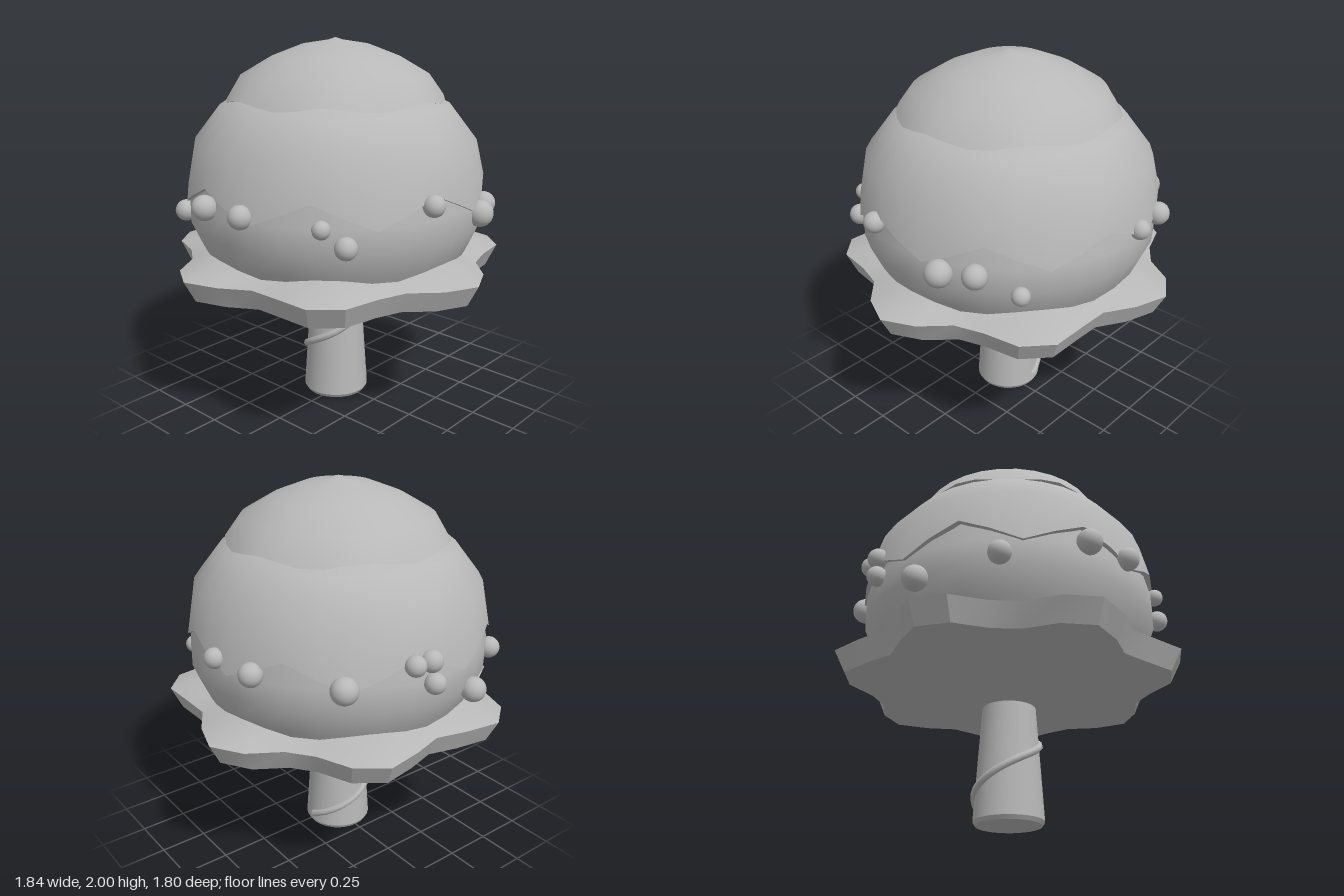
import * as THREE from 'three';
import { toCreasedNormals } from 'three/addons/utils/BufferGeometryUtils.js';

const SEGMENTS = 32;
const AXIS_Z = -0.04;

// Skin a stack of rings, listed bottom to top. Each ring maps an angle
// (0 = front, growing towards +x) to [radius, height].
function ringGeometry(rings, crease) {
  const positions = [];
  const index = [];
  const row = SEGMENTS + 1;
  rings.forEach((ring, i) => {
    for (let j = 0; j <= SEGMENTS; j++) {
      const angle = ((j % SEGMENTS) / SEGMENTS) * Math.PI * 2;
      const [r, y] = ring(angle);
      positions.push(r * Math.sin(angle), y, r * Math.cos(angle));
      if (i === 0 || j === SEGMENTS) continue;
      const a = (i - 1) * row + j;
      const b = a + 1;
      const c = b + row;
      const d = a + row;
      if (rings[i - 1](0)[0] > 0) index.push(a, b, c);
      if (r > 0) index.push(a, c, d);
    }
  });
  const geometry = new THREE.BufferGeometry();
  geometry.setAttribute('position', new THREE.Float32BufferAttribute(positions, 3));
  geometry.setIndex(index);
  return toCreasedNormals(geometry, crease);
}

const round = (r, y) => () => [r, y];
const lobed = (r, y) => (a) => [r * (1 + 0.09 * Math.cos(7 * a)), y];

export function createModel() {
  const model = new THREE.Group();
  model.name = 'layeredMushroom';
  const grey = new THREE.MeshStandardMaterial({ color: 0xb8b8b8, side: THREE.DoubleSide });
  grey.name = 'clay grey';

  // Everything is turned around one axis
  const body = new THREE.Group();
  body.name = 'body';
  body.position.z = AXIS_Z;
  model.add(body);

  const add = (name, geometry, parent = body) => {
    const mesh = new THREE.Mesh(geometry, grey);
    mesh.name = name;
    parent.add(mesh);
    return mesh;
  };

  // Tapered stem with a small bevel at the foot
  add('stem', ringGeometry([
    round(0, 0), round(0.17, 0), round(0.182, 0.02), round(0.14, 0.64),
  ], 0.6));

  // Vine winding once around the stem
  const vinePoints = [];
  for (let i = 0; i <= 24; i++) {
    const t = i / 24;
    const angle = THREE.MathUtils.degToRad(92 + 366 * t);
    const y = 0.065 + 0.56 * t;
    const r = 0.186 - 0.068 * y;
    vinePoints.push(new THREE.Vector3(r * Math.sin(angle), y, r * Math.cos(angle)));
  }
  add('vine', new THREE.TubeGeometry(new THREE.CatmullRomCurve3(vinePoints), 24, 0.02, 6));

  // Seven-lobed skirt under the dome
  add('skirt', ringGeometry([
    round(0, 0.615), lobed(0.27, 0.615), lobed(0.805, 0.73),
    lobed(0.86, 0.845), lobed(0.68, 0.915), round(0, 0.92),
  ], 0.5));

  // Lower dome
  add('lowerDome', ringGeometry([
    round(0.7, 0.86), round(0.73, 0.915), round(0.79, 1.05),
    round(0.79, 1.18), round(0.725, 1.45),
  ], 0.9));

  // Upper shell with a zigzag edge overhanging the lower dome
  const zigzag = (a) => 1.235 - 0.065 * Math.sin(8 * a);
  const edge = (r) => (a) => [r - 0.08 * (zigzag(a) - 1.17), zigzag(a)];
  add('upperShell', ringGeometry([
    edge(0.775), edge(0.806), round(0.752, 1.48),
    round(0.615, 1.655), round(0.53, 1.70), round(0, 1.76),
  ], 0.9));

  // Top cap with a gently waving rim
  const rim = (r) => (a) => [r, 1.69 + 0.015 * Math.cos(7 * a)];
  add('topCap', ringGeometry([
    rim(0.52), rim(0.58), round(0.5, 1.81), round(0.34, 1.903),
    round(0.175, 1.966), round(0.04, 1.987), round(0, 2),
  ], 0.9));

  // Beads scattered around the dome: x, y, z, radius
  const beads = new THREE.Group();
  beads.name = 'beads';
  model.add(beads);
  [
    [-0.18, 1.26, 0.745, 0.055], [0.25, 1.135, 0.73, 0.07],
    [0.41, 1.145, 0.65, 0.063], [0.58, 1.05, 0.52, 0.047],
    [0.8, 1.235, -0.11, 0.052], [0.75, 1.22, -0.35, 0.06],
    [0.47, 1.185, -0.69, 0.068], [0.17, 1.275, -0.83, 0.052],
    [0.08, 1.28, -0.84, 0.055], [0.06, 1.165, -0.85, 0.053],
    [-0.25, 1.03, -0.81, 0.065], [-0.61, 1.09, -0.58, 0.058],
    [-0.8, 1.21, -0.18, 0.065], [-0.8, 1.21, 0.08, 0.06],
    [-0.64, 1.185, 0.45, 0.045], [-0.57, 1.1, 0.54, 0.056],
  ].forEach(([x, y, z, r]) => {
    add('bead', new THREE.SphereGeometry(r, 20, 14), beads).position.set(x, y, z);
  });

  return model;
}
